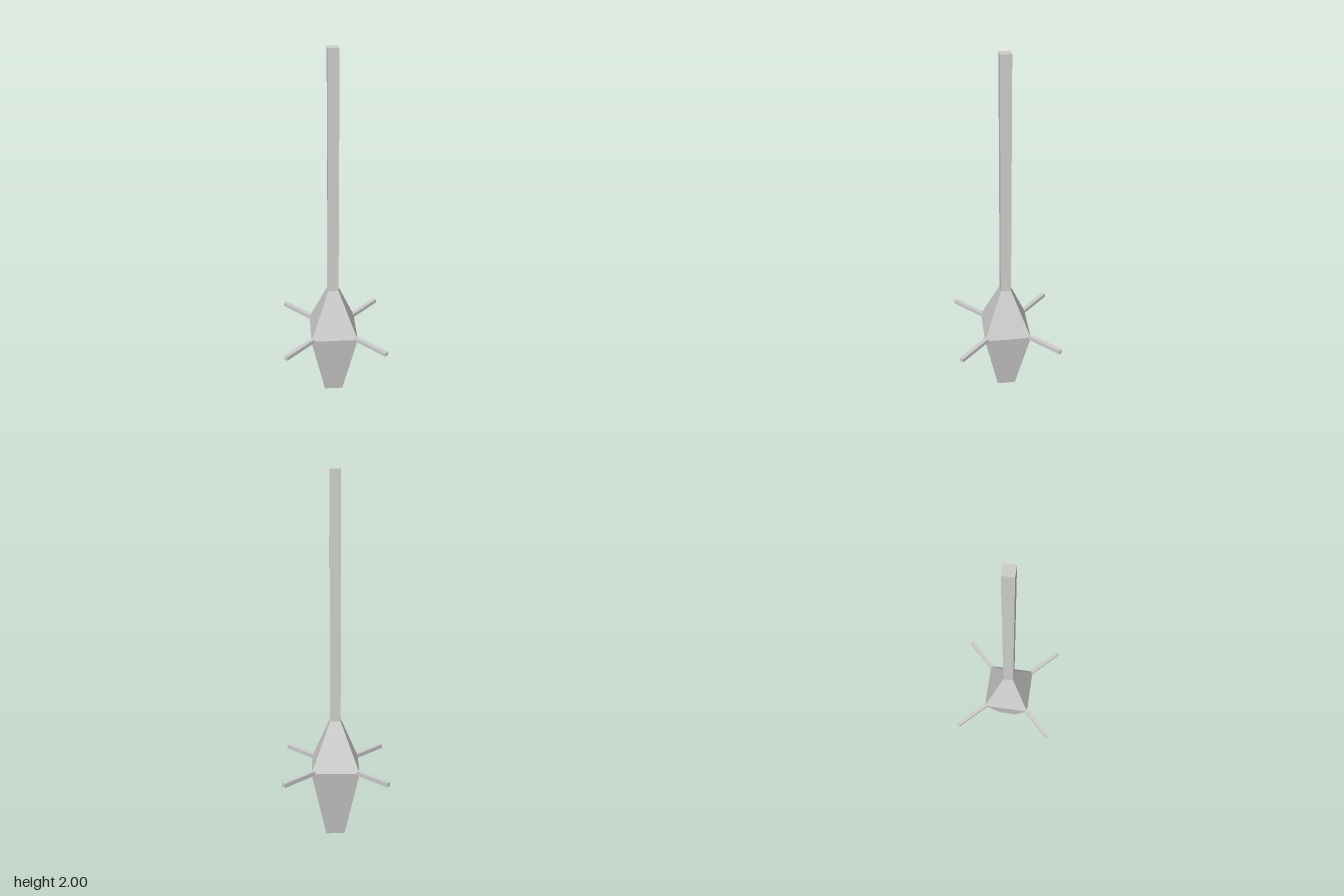
import * as THREE from 'three';

export function createModel() {
  const model = new THREE.Group();
  const material = new THREE.MeshStandardMaterial({ color: 0xcccccc, flatShading: true });

  const add = (name, geometry, parent = model) => {
    const mesh = new THREE.Mesh(geometry, material);
    mesh.name = name;
    parent.add(mesh);
    return mesh;
  };

  // Square frustum given by half widths, sides facing the axes
  const frustum = (topHalf, bottomHalf, y0, y1, openEnded) =>
    new THREE.CylinderGeometry(topHalf * Math.SQRT2, bottomHalf * Math.SQRT2, y1 - y0, 4, 1, openEnded)
      .rotateY(Math.PI / 4)
      .translate(0, (y0 + y1) / 2, 0);

  const shaftHalf = 0.029, waistHalf = 0.131, footHalf = 0.052;
  const waistY = 0.4, neckY = 0.665;

  // Tapered body, widest at the waist
  add('lowerBody', frustum(waistHalf, footHalf, 0, waistY));
  add('upperBody', frustum(shaftHalf, waistHalf, waistY, neckY));

  // Long square shaft
  add('shaft', frustum(shaftHalf, shaftHalf, neckY, 2));

  // Four thin arms leaving the waist corners
  const armStart = 0.15, armEnd = 0.389, armThickness = 0.023;
  const arms = new THREE.Group();
  arms.name = 'arms';
  model.add(arms);
  for (let i = 0; i < 4; i++) {
    const geometry = new THREE.BoxGeometry(armEnd - armStart, armThickness, armThickness)
      .translate((armStart + armEnd) / 2, 0.402, 0);
    add('arm' + (i + 1), geometry, arms).rotation.y = Math.PI / 4 + i * Math.PI / 2;
  }

  return model;
}
